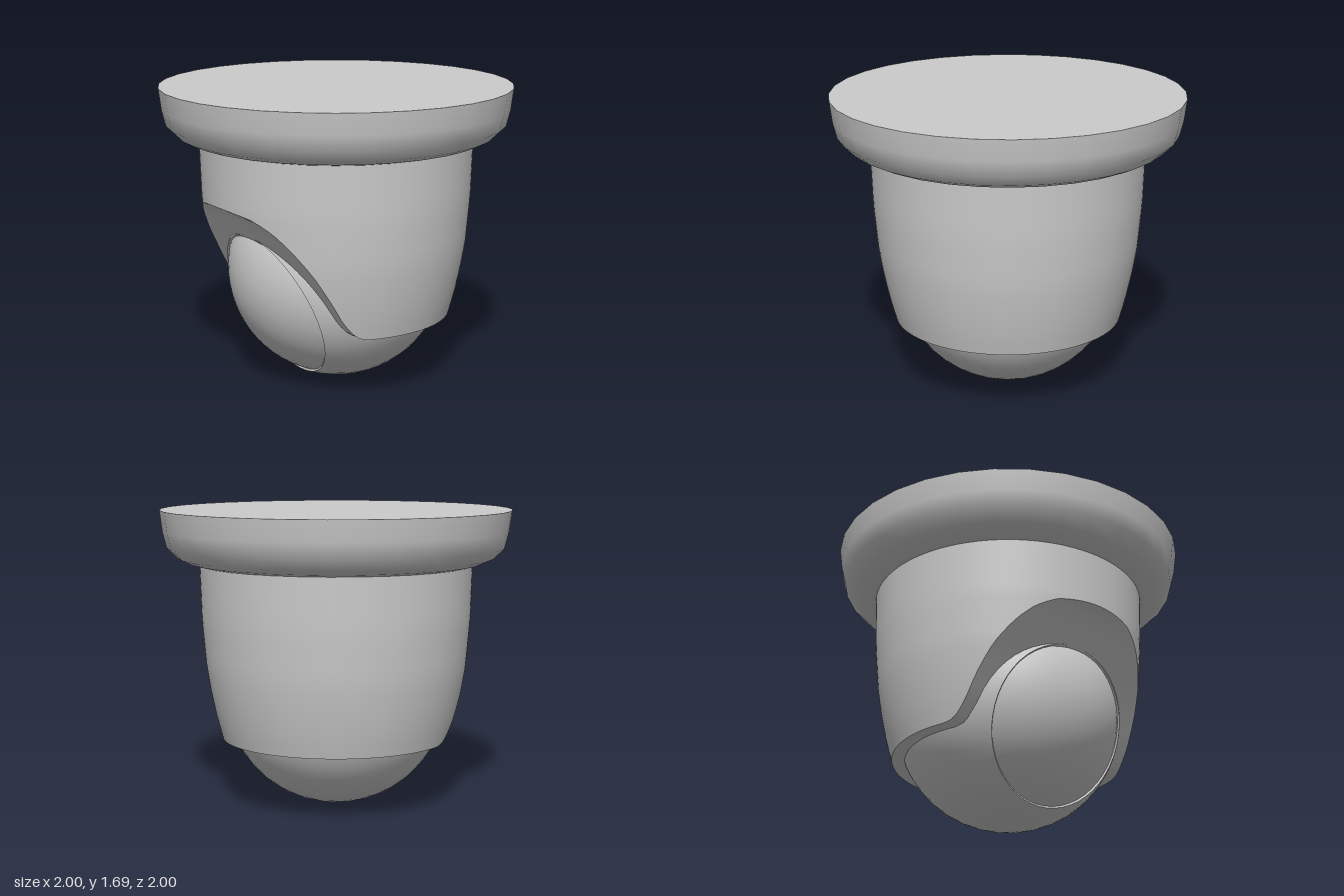
import * as THREE from 'three';

const material = new THREE.MeshStandardMaterial({ color: 0xcccccc, side: THREE.DoubleSide });

function addMesh(parent, name, geometry) {
  const mesh = new THREE.Mesh(geometry, material);
  mesh.name = name;
  parent.add(mesh);
  return mesh;
}

// Profile points are [radius, y], listed so that faces point outward
const lathe = (points, sides = 32) =>
  new THREE.LatheGeometry(points.map(([r, y]) => new THREE.Vector2(r, y)), sides);

// Piecewise linear lookup in a table of [key, value], keys ascending
function lookup(table, k) {
  if (k <= table[0][0]) return table[0][1];
  for (let i = 1; i < table.length; i++) {
    const [k0, v0] = table[i - 1], [k1, v1] = table[i];
    if (k <= k1) return v0 + (v1 - v0) * (k - k0) / (k1 - k0);
  }
  return table[table.length - 1][1];
}

// Housing radius by height
const housingRadius = [[0.38, 0.655], [0.5, 0.688], [0.65, 0.72], [0.8, 0.745], [1.07, 0.768], [1.4, 0.778]];
// Height of the housing's lower edge by x: level, then swept up over the lens
const lowerEdge = [[-0.77, 1.07], [-0.72, 1.045], [-0.66, 0.985], [-0.6, 0.905], [-0.5, 0.755],
  [-0.4, 0.585], [-0.35, 0.495], [-0.3, 0.43], [-0.26, 0.395], [-0.21, 0.38]];

// Closed ring surface: point(theta, t) for t from 0 to 1
function ringSurface(sides, rows, point) {
  const positions = [], index = [];
  for (let j = 0; j <= rows; j++) {
    for (let i = 0; i < sides; i++) {
      positions.push(...point((i / sides) * Math.PI * 2, j / rows));
      if (j === rows) continue;
      const a = j * sides + i, b = j * sides + (i + 1) % sides;
      index.push(a, b, a + sides, b, b + sides, a + sides);
    }
  }
  const geometry = new THREE.BufferGeometry();
  geometry.setAttribute('position', new THREE.Float32BufferAttribute(positions, 3));
  geometry.setIndex(index);
  geometry.computeVertexNormals();
  return geometry;
}

// Height where the housing wall ends at a given angle
function wallEnd(theta) {
  let y = 0.38;
  for (let i = 0; i < 30; i++) y = lookup(lowerEdge, lookup(housingRadius, y) * Math.cos(theta));
  return y;
}

export function createModel() {
  const model = new THREE.Group();
  model.name = 'domeCamera';

  // Mounting plate with a rounded lower rim
  const plate = new THREE.Group();
  plate.name = 'mountingPlate';
  model.add(plate);
  addMesh(plate, 'plateTop', lathe([[1, 1.69], [0, 1.69]]));
  addMesh(plate, 'plateRim', lathe([[0.78, 1.377], [0.84, 1.392], [0.9, 1.42], [0.962, 1.48], [0.985, 1.57], [1, 1.69]]));
  addMesh(plate, 'plateUnderside', lathe([[0, 1.377], [0.78, 1.377]]));

  // Tapered housing with the swept cut-out on one side
  const housing = new THREE.Group();
  housing.name = 'housing';
  model.add(housing);
  addMesh(housing, 'housingWall', ringSurface(128, 14, (theta, t) => {
    const y = THREE.MathUtils.lerp(1.385, wallEnd(theta), t);
    const r = lookup(housingRadius, y);
    return [r * Math.cos(theta), y, r * Math.sin(theta)];
  }));
  // Ledge from the lower edge inward to the ball
  addMesh(housing, 'housingLedge', ringSurface(128, 8, (theta, t) => {
    const r = lookup(housingRadius, wallEnd(theta)) * (1 - 0.3 * t);
    const x = r * Math.cos(theta);
    return [x, lookup(lowerEdge, x), r * Math.sin(theta)];
  }));

  // Swivelling ball, its local +y pointing out through the lens
  const ball = new THREE.Group();
  ball.name = 'swivelBall';
  ball.position.y = 0.636;
  ball.rotation.z = THREE.MathUtils.degToRad(112);
  model.add(ball);
  const R = 0.636, lensR = 0.624, s = Math.SQRT1_2;
  addMesh(ball, 'ballShell', new THREE.SphereGeometry(R, 48, 24, 0, Math.PI * 2, Math.PI / 4, Math.PI * 0.75));
  addMesh(ball, 'lensLip', lathe([[R * s, R * s], [lensR * s, lensR * s]], 48));
  addMesh(ball, 'lensCap', new THREE.SphereGeometry(lensR, 48, 10, 0, Math.PI * 2, 0, Math.PI / 4));

  return model;
}
